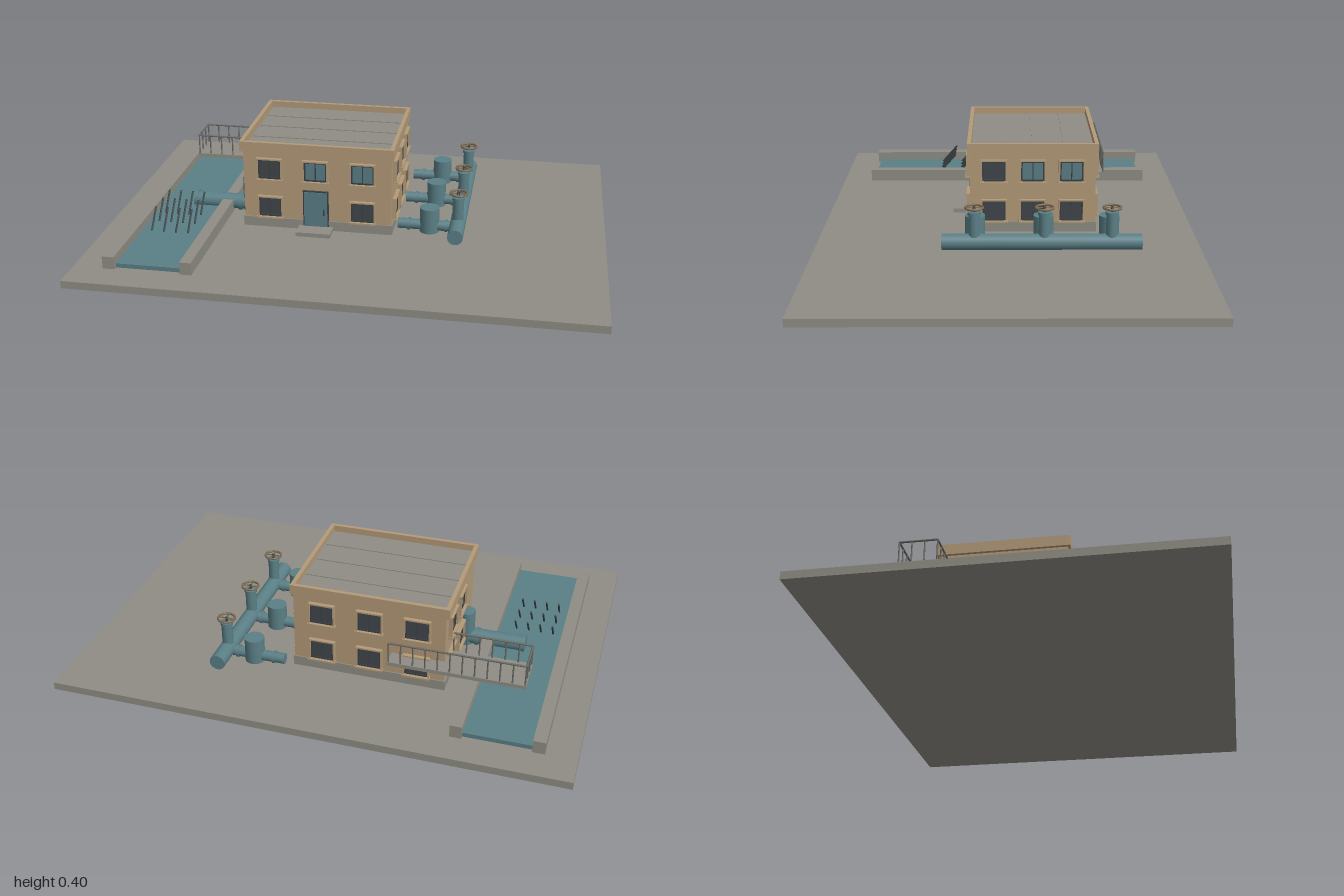
import * as THREE from 'three';

const mat = (name, color, side = THREE.FrontSide) => {
  const m = new THREE.MeshStandardMaterial({ color, side });
  m.name = name;
  return m;
};

export function createModel() {
  const concrete = mat('concrete', 0x8f8d84);
  const tan = mat('tan wall', 0xb39a78);
  const teal = mat('teal paint', 0x5a7f86);
  const dark = mat('dark glass', 0x41464b);
  const frameMat = mat('dark frame', 0x3a4245);
  const brown = mat('wheel brown', 0x7d6a50);
  const steel = mat('rail steel', 0x6a6a66);

  const model = new THREE.Group();
  model.name = 'pumpStation';

  const add = (parent, name, geo, material, x, y, z) => {
    const m = new THREE.Mesh(geo, material);
    m.name = name;
    m.position.set(x, y, z);
    parent.add(m);
    return m;
  };
  // Box given by its lower and upper limits on each axis
  const box = (parent, name, material, x0, x1, y0, y1, z0, z1) =>
    add(parent, name, new THREE.BoxGeometry(x1 - x0, y1 - y0, z1 - z0), material,
      (x0 + x1) / 2, (y0 + y1) / 2, (z0 + z1) / 2);
  // Cylinder between two points
  const rod = (parent, name, material, a, b, r, sides = 24) => {
    const p = new THREE.Vector3(...a), q = new THREE.Vector3(...b);
    const d = q.clone().sub(p);
    const m = add(parent, name, new THREE.CylinderGeometry(r, r, d.length(), sides), material,
      ...p.clone().add(q).multiplyScalar(0.5).toArray());
    m.quaternion.setFromUnitVectors(new THREE.Vector3(0, 1, 0), d.normalize());
    return m;
  };
  const group = (name, parent = model) => {
    const g = new THREE.Group();
    g.name = name;
    parent.add(g);
    return g;
  };

  // Ground slab
  box(model, 'groundSlab', concrete, -1, 1, 0, 0.03, -0.745, 0.745);

  // Building shell, plinth, parapet and roof
  const house = group('building');
  box(house, 'plinth', concrete, -0.455, 0.155, 0.03, 0.07, -0.355, 0.155);
  box(house, 'walls', tan, -0.45, 0.15, 0.07, 0.36, -0.35, 0.15);
  box(house, 'roof', concrete, -0.445, 0.145, 0.36, 0.37, -0.345, 0.145);
  for (const z of [-0.225, -0.1, 0.025])
    box(house, 'roofSeam', concrete, -0.44, 0.14, 0.37, 0.373, z - 0.002, z + 0.002);
  for (const [z0, z1] of [[-0.36, -0.344], [0.144, 0.16]])
    box(house, 'parapet', tan, -0.463, 0.16, 0.353, 0.396, z0, z1);
  for (const [x0, x1] of [[-0.463, -0.447], [0.144, 0.16]])
    box(house, 'parapet', tan, x0, x1, 0.353, 0.396, -0.344, 0.144);

  // Window facing local +z, origin at its centre on the wall
  const addWindow = (x, y, z, turn, glass) => {
    const g = group('window', house);
    g.position.set(x, y, z);
    g.rotation.y = turn;
    box(g, 'glass', glass, -0.044, 0.044, -0.038, 0.038, 0, 0.004);
    for (const s of [-1, 1]) {
      box(g, 'frameSide', frameMat, s * 0.043 - 0.003, s * 0.043 + 0.003, -0.04, 0.04, 0, 0.008);
      box(g, 'frameRail', frameMat, -0.04, 0.04, s * 0.038 - 0.003, s * 0.038 + 0.003, 0, 0.008);
      box(g, 'surroundSide', tan, s * 0.049 - 0.003, s * 0.049 + 0.003, -0.042, 0.042, 0, 0.016);
    }
    box(g, 'mullion', frameMat, -0.002, 0.002, -0.036, 0.036, 0, 0.008);
    box(g, 'lintel', tan, -0.052, 0.052, 0.041, 0.047, 0, 0.016);
    box(g, 'sill', tan, -0.055, 0.055, -0.048, -0.041, 0, 0.02);
  };
  const columnsX = [-0.342, -0.155, 0.035], columnsZ = [0.054, -0.1, -0.254];
  const low = 0.12, high = 0.283;
  columnsX.forEach((x, i) => {
    addWindow(x, high, 0.15, 0, i ? teal : dark);
    if (i !== 1) addWindow(x, low, 0.15, 0, dark);
    addWindow(x, high, -0.35, Math.PI, dark);
    addWindow(x, low, -0.35, Math.PI, dark);
  });
  columnsZ.forEach((z, i) => {
    addWindow(0.15, high, z, Math.PI / 2, i ? teal : dark);
    addWindow(0.15, low, z, Math.PI / 2, dark);
    if (i) {
      addWindow(-0.45, high, z, -Math.PI / 2, i === 1 ? teal : dark);
      addWindow(-0.45, low, z, -Math.PI / 2, dark);
    }
  });

  // Door and step
  box(house, 'doorFrame', frameMat, -0.207, -0.103, 0.045, 0.2, 0.15, 0.158);
  box(house, 'door', teal, -0.202, -0.108, 0.048, 0.195, 0.15, 0.162);
  box(house, 'doorHandle', frameMat, -0.124, -0.118, 0.1, 0.125, 0.162, 0.168);
  box(house, 'doorStep', concrete, -0.225, -0.085, 0.03, 0.047, 0.15, 0.227);

  // Water channel with side walls
  const canal = group('channel');
  box(canal, 'water', teal, -0.836, -0.578, 0.03, 0.047, -0.608, 0.606);
  box(canal, 'channelWall', concrete, -0.883, -0.836, 0.03, 0.08, -0.622, 0.622);
  box(canal, 'channelWall', concrete, -0.58, -0.535, 0.03, 0.08, -0.622, 0.622);

  // Slanted screen bars standing in the water
  for (const x of [-0.797, -0.747, -0.697, -0.647])
    for (const z of [0.065, 0.15, 0.24])
      rod(canal, 'screenBar', frameMat, [x, 0.047, z + 0.067], [x, 0.123, z], 0.004, 8);

  // Intake pipe rising at the wall
  const intake = group('intakePipe');
  rod(intake, 'intakeRun', teal, [-0.705, 0.064, 0], [-0.462, 0.064, 0], 0.032);
  rod(intake, 'intakeFlange', teal, [-0.705, 0.064, 0], [-0.69, 0.064, 0], 0.036);
  rod(intake, 'intakeFlange', teal, [-0.515, 0.064, 0], [-0.5, 0.064, 0], 0.036);
  rod(intake, 'intakeRiser', teal, [-0.462, 0.032, 0], [-0.462, 0.178, 0], 0.033);

  // Raised walkway with railings
  const walk = group('walkway');
  box(walk, 'deck', concrete, -0.77, -0.242, 0.145, 0.16, -0.417, -0.267);
  const railing = (a, b, n) => {
    const at = (t, y) => [a[0] + (b[0] - a[0]) * t, y, a[1] + (b[1] - a[1]) * t];
    for (let i = 0; i <= n; i++)
      rod(walk, 'railPost', steel, at(i / n, 0.16), at(i / n, 0.243), 0.003, 8);
    rod(walk, 'handRail', steel, at(0, 0.243), at(1, 0.243), 0.004, 8);
  };
  railing([-0.766, -0.412], [-0.246, -0.412], 11);
  railing([-0.766, -0.272], [-0.466, -0.272], 6);
  railing([-0.766, -0.412], [-0.766, -0.272], 3);

  // Discharge manifold with three pump branches
  const pipes = group('manifold');
  rod(pipes, 'header', teal, [0.415, 0.084, -0.508], [0.415, 0.084, 0.25], 0.031, 32);
  for (const z of [-0.393, -0.139, 0.126]) {
    const b = group('pumpBranch', pipes);
    b.position.z = z;
    rod(b, 'branchPipe', teal, [0.176, 0.075, 0], [0.415, 0.075, 0], 0.021);
    for (const x of [0.215, 0.365])
      rod(b, 'branchFlange', teal, [x, 0.075, 0], [x + 0.01, 0.075, 0], 0.025);
    rod(b, 'pumpBody', teal, [0.302, 0.05, 0], [0.302, 0.152, 0], 0.039);
    rod(b, 'valveBody', teal, [0.415, 0.084, 0], [0.415, 0.195, 0], 0.022);
    rod(b, 'valveFlange', teal, [0.415, 0.192, 0], [0.415, 0.204, 0], 0.025);
    rod(b, 'valveStem', frameMat, [0.415, 0.204, 0], [0.415, 0.224, 0], 0.005, 10);
    const wheel = add(b, 'handWheel', new THREE.TorusGeometry(0.033, 0.0045, 8, 28), brown, 0.415, 0.22, 0);
    wheel.rotation.x = Math.PI / 2;
    rod(b, 'wheelSpoke', brown, [0.384, 0.22, 0], [0.446, 0.22, 0], 0.0025, 6);
    rod(b, 'wheelSpoke', brown, [0.415, 0.22, -0.031], [0.415, 0.22, 0.031], 0.0025, 6);
  }
  return model;
}
